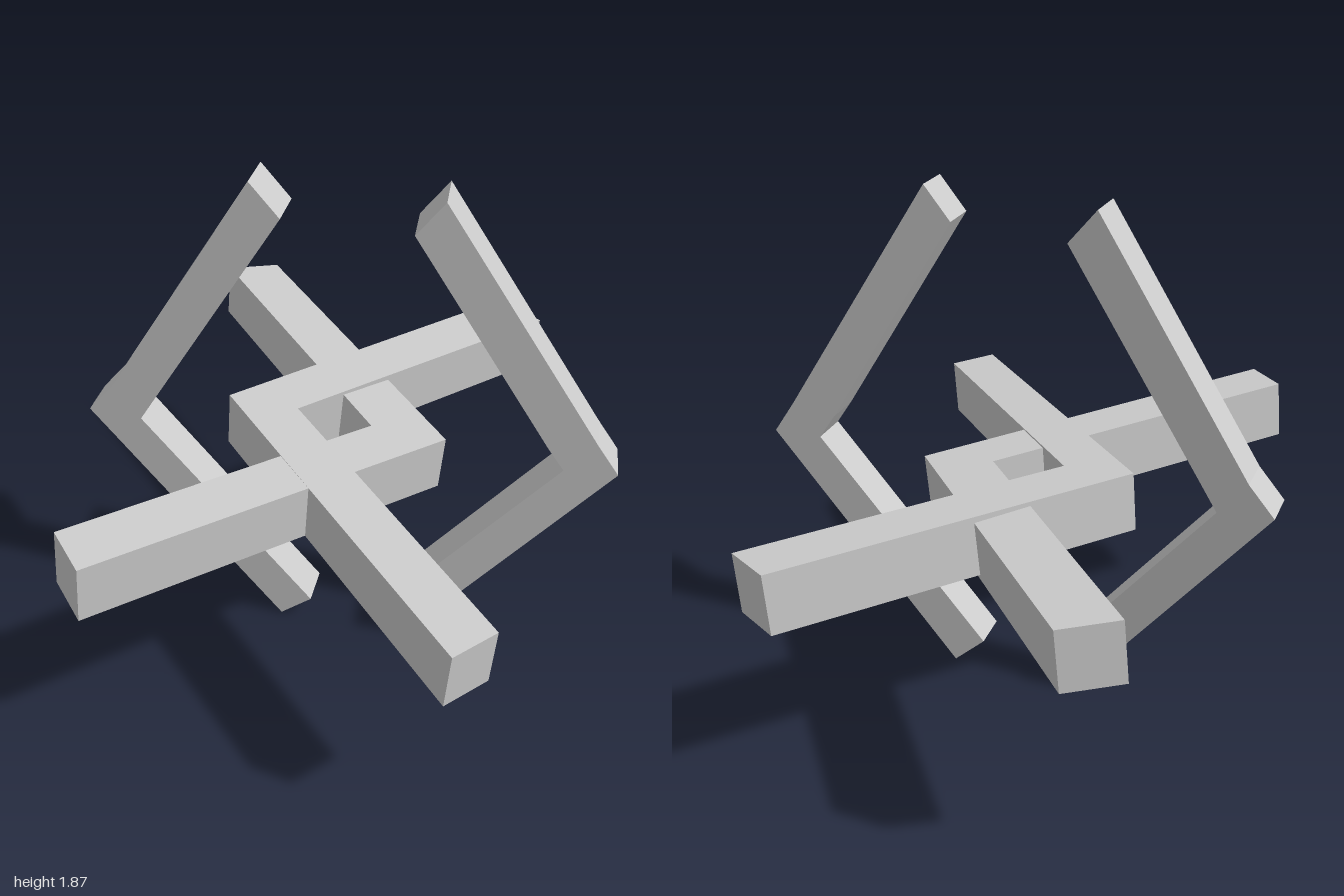
import * as THREE from 'three';

// Bent square bar: pairs of [outer, inner] points along its path, thickened by an offset vector
function bentBar(name, pairs, offset) {
  const off = new THREE.Vector3(...offset);
  const first = pairs[0][0];
  const turn = pairs[0][1].clone().sub(first).cross(off).dot(pairs[1][0].clone().sub(first));
  const rings = pairs.map(([outer, inner]) => {
    const [a, b] = turn > 0 ? [outer, inner] : [inner, outer];
    return [a, b, b.clone().add(off), a.clone().add(off)];
  });
  const pos = [];
  const quad = (a, b, c, d) => [a, b, c, a, c, d].forEach((p) => pos.push(p.x, p.y, p.z));
  for (let i = 0; i < rings.length - 1; i++) {
    const r = rings[i], s = rings[i + 1];
    for (let k = 0; k < 4; k++) {
      const n = (k + 1) % 4;
      quad(r[k], r[n], s[n], s[k]);
    }
  }
  // End caps
  const [a, b, c, d] = rings[0];
  quad(a, d, c, b);
  quad(...rings[rings.length - 1]);

  const geometry = new THREE.BufferGeometry();
  geometry.setAttribute('position', new THREE.Float32BufferAttribute(pos, 3));
  geometry.computeVertexNormals();
  const mesh = new THREE.Mesh(geometry, new THREE.MeshStandardMaterial({ color: 0xcccccc, flatShading: true }));
  mesh.name = name;
  return mesh;
}

// Upright chevron drawn in x, y with its front face on a plane z(x, y)
const upright = (name, pairs, z, offset) =>
  bentBar(name, pairs.map((p) => p.map(([x, y]) => new THREE.Vector3(x, y, z(x, y)))), offset);

// Lying chevron drawn in x, z with its top face on a plane y(x, z)
const lying = (name, pairs, y, offset) =>
  bentBar(name, pairs.map((p) => p.map(([x, z]) => new THREE.Vector3(x, y(x, z), z))), offset);

export function createModel() {
  const model = new THREE.Group();
  model.name = 'interlockedChevrons';

  // Two upright chevrons with their bends pointing outward
  model.add(upright('rightUprightChevron', [
    [[-0.31, 1.86], [-0.21, 1.74]],
    [[-0.86, 1.0], [-0.70, 0.97]],
    [[-0.955, 0.89], [-0.76, 0.875]],
    [[-0.26, 0.005], [-0.14, 0.1]],
  ], () => 0.095, [0, 0, -0.15]));

  model.add(upright('leftUprightChevron', [
    [[0.325, 1.87], [0.23, 1.75]],
    [[0.87, 1.0], [0.705, 0.97]],
    [[0.95, 0.88], [0.765, 0.88]],
    [[0.235, 0.005], [0.12, 0.11]],
  ], (x, y) => 0.135 - 0.07 * x + 0.015 * (y - 0.9), [-0.01, 0.002, -0.15]));

  // Two lying chevrons crossing each other through the middle
  model.add(lying('rightPointingLyingChevron', [
    [[0.52, 1.0], [0.64, 0.86]],
    [[-0.455, -0.02], [-0.2, -0.02]],
    [[0.415, -1.0], [0.59, -0.9]],
  ], (x, z) => 0.908 - 0.082 * x - 0.013 * z, [-0.018, -0.215, -0.003]));

  model.add(lying('leftPointingLyingChevron', [
    [[-0.63, 1.0], [-0.76, 0.86]],
    [[0.34, -0.03], [0.07, -0.02]],
    [[-0.54, -1.0], [-0.715, -0.9]],
  ], (x, z) => 0.897 - 0.097 * x + 0.011 * z, [-0.02, -0.213, 0.002]));

  return model;
}
